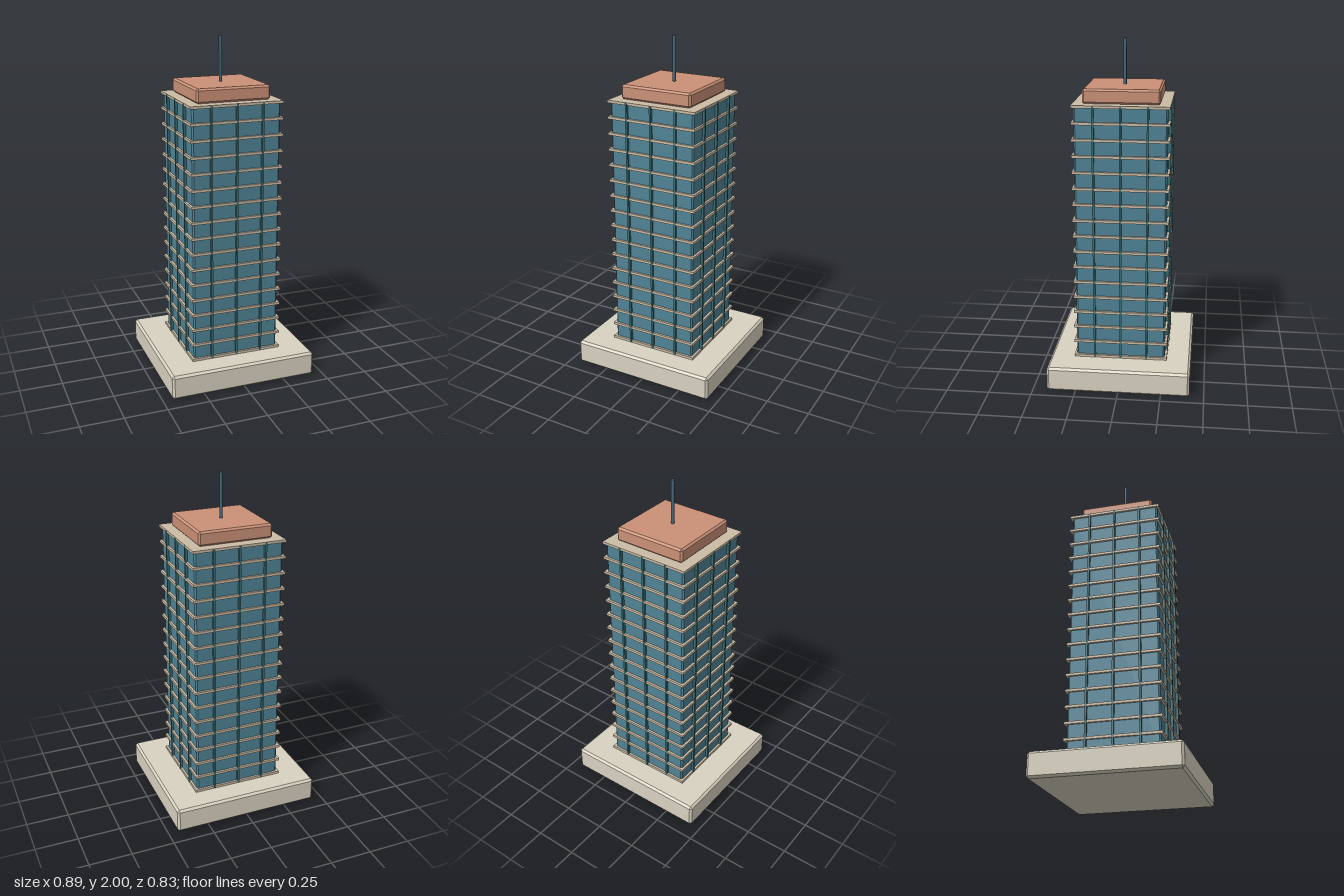
import * as THREE from 'three';
import { ConvexGeometry } from 'three/addons/geometries/ConvexGeometry.js';

const material = (color) => new THREE.MeshStandardMaterial({ color });
const stone = material(0xd8d2c0);
const glass = material(0x4f8396);
const concrete = material(0xcbbca5);
const frame = material(0x3a6b70);
const terracotta = material(0xcb9177);
const steel = material(0x45677f);

// Box with every edge cut by a flat chamfer
function chamferBox(w, h, d, c) {
  const half = [w / 2, h / 2, d / 2];
  const points = [];
  for (const sx of [-1, 1]) for (const sy of [-1, 1]) for (const sz of [-1, 1]) {
    const sign = [sx, sy, sz];
    for (let axis = 0; axis < 3; axis++) {
      const p = half.map((v, i) => sign[i] * (i === axis ? v : v - c));
      points.push(new THREE.Vector3(...p));
    }
  }
  return new ConvexGeometry(points);
}

export function createModel() {
  const model = new THREE.Group();
  model.name = 'officeTower';
  const add = (name, geometry, mat, x, y, z) => {
    const mesh = new THREE.Mesh(geometry, mat);
    mesh.name = name;
    mesh.position.set(x, y, z);
    model.add(mesh);
    return mesh;
  };

  const podiumTop = 0.145, roofTop = 1.659, slabHeight = 0.015;
  const towerHeight = roofTop - podiumTop, towerMid = (roofTop + podiumTop) / 2;

  // Podium and glazed shaft
  add('podium', chamferBox(0.886, podiumTop, 0.834, 0.013), stone, 0, podiumTop / 2, 0);
  add('glassShaft', chamferBox(0.524, towerHeight - 0.004, 0.524, 0.009), glass, 0, towerMid, 0);

  // Floor slabs, the last one being the roof
  const floors = 16;
  const slab = new THREE.BoxGeometry(0.55, slabHeight, 0.55);
  for (let i = 0; i <= floors; i++) {
    const y = podiumTop + slabHeight / 2 + (i * (towerHeight - slabHeight)) / floors;
    add('floorSlab', slab, concrete, 0, y, 0);
  }

  // Vertical mullions on all four faces
  const mullion = new THREE.BoxGeometry(0.012, towerHeight - 0.006, 0.022);
  for (let side = 0; side < 4; side++) {
    const angle = (side * Math.PI) / 2;
    for (const offset of [-0.153, 0, 0.153]) {
      const p = new THREE.Vector3(offset, towerMid, 0.266).applyAxisAngle(THREE.Object3D.DEFAULT_UP, angle);
      add('mullion', mullion, frame, p.x, p.y, p.z).rotation.y = angle;
    }
  }

  // Roof block and antenna
  add('roofBlock', chamferBox(0.438, 0.083, 0.438, 0.011), terracotta, 0, 1.7, 0);
  add('antenna', new THREE.CylinderGeometry(0.0095, 0.0095, 0.27, 12), steel, 0, 1.865, 0);

  return model;
}
